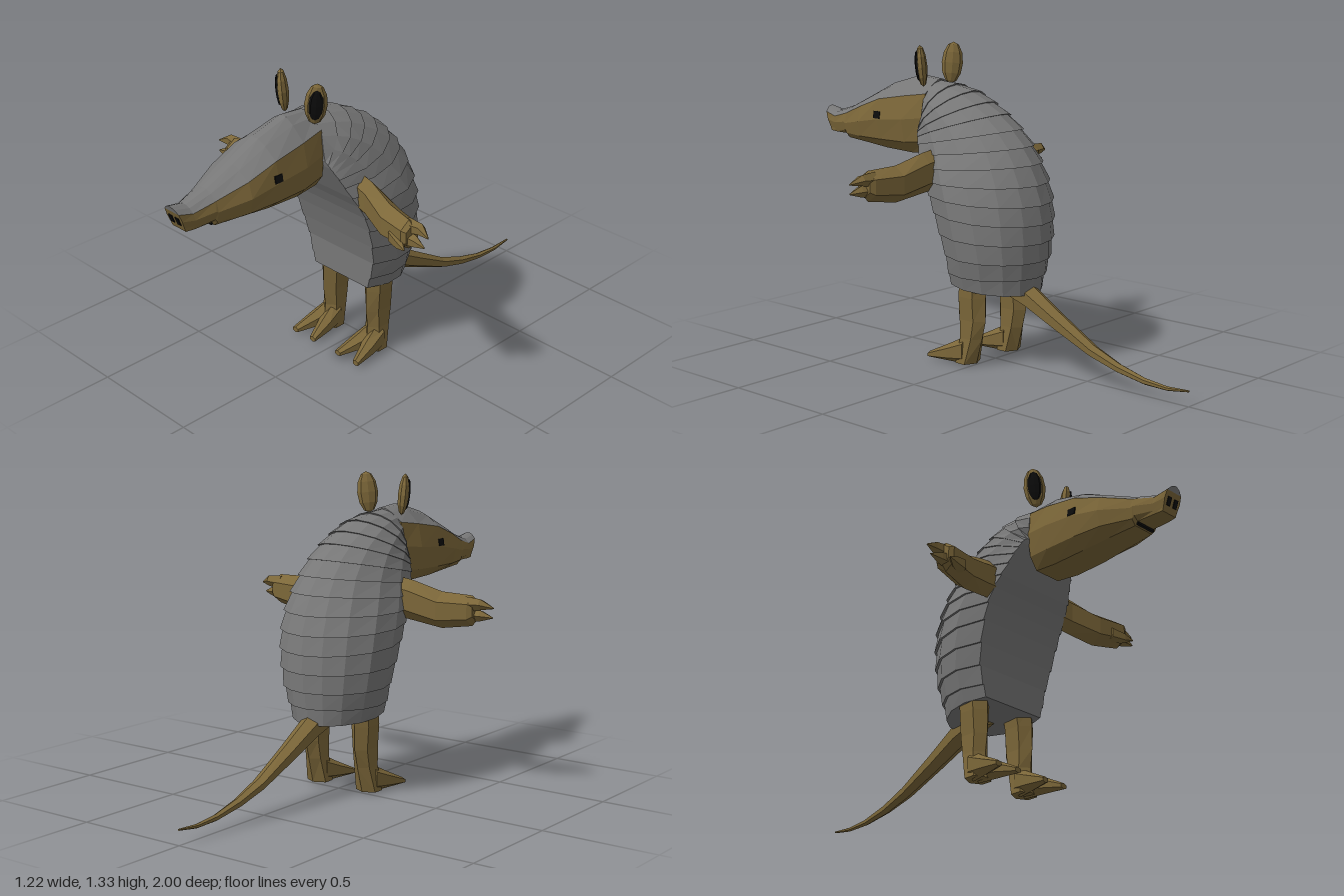
import * as THREE from 'three';

const mat = (color) => new THREE.MeshStandardMaterial({ color, flatShading: true });
const V = (x, y, z) => new THREE.Vector3(x, y, z);

// Closed solid through a row of equal-length rings, capped at both ends, facing outward
function loft(rings) {
  const n = rings[0].length, tris = [];
  for (let i = 0; i < rings.length - 1; i++) {
    for (let j = 0; j < n; j++) {
      const a = rings[i][j], b = rings[i][(j + 1) % n];
      const c = rings[i + 1][(j + 1) % n], d = rings[i + 1][j];
      tris.push([a, b, c], [a, c, d]);
    }
  }
  const cap = (ring, flip) => {
    const mid = ring.reduce((s, p) => s.add(p), V(0, 0, 0)).divideScalar(n);
    ring.forEach((p, j) => {
      const q = ring[(j + 1) % n];
      tris.push(flip ? [mid, q, p] : [mid, p, q]);
    });
  };
  cap(rings[0], true);
  cap(rings[rings.length - 1], false);
  // a negative volume means the winding is inside out
  const volume = tris.reduce((s, [a, b, c]) => s + a.dot(b.clone().cross(c)), 0);
  if (volume < 0) tris.forEach((t) => t.reverse());
  const geo = new THREE.BufferGeometry().setFromPoints(tris.flat());
  geo.computeVertexNormals();
  return geo;
}

// Limb from stations [x, y, z, radiusA, radiusB]; sections lie square to the given axis
function limb(stations, axis, side = 1, sides = 6) {
  return loft(stations.map(([x, y, z, ra, rb]) =>
    Array.from({ length: sides }, (_, j) => {
      const t = ((j + 0.5) / sides) * Math.PI * 2;
      const a = Math.cos(t) * ra, b = Math.sin(t) * rb;
      const p = axis === 'x' ? V(x, y + b, z + a) : axis === 'y' ? V(x + a, y, z + b) : V(x + a, y + b, z);
      p.x *= side;
      return p;
    })));
}

export function createModel() {
  const model = new THREE.Group();
  const grey = mat(0x777777), brown = mat(0x7c6739), black = mat(0x0c0c0c);
  const add = (name, geo, material, parent = model) => {
    const mesh = new THREE.Mesh(geo, material);
    mesh.name = name;
    parent.add(mesh);
    return mesh;
  };

  // Banded shell: [back z, back y, front z, front y, half width], fanning up to the neck
  const bands = [
    [-0.20, 0.31, 0.11, 0.33, 0.18], [-0.215, 0.38, 0.11, 0.38, 0.20],
    [-0.23, 0.45, 0.11, 0.46, 0.222], [-0.24, 0.53, 0.13, 0.55, 0.238],
    [-0.243, 0.61, 0.155, 0.64, 0.247], [-0.238, 0.69, 0.18, 0.71, 0.25],
    [-0.22, 0.77, 0.21, 0.77, 0.245], [-0.19, 0.85, 0.24, 0.82, 0.232],
    [-0.15, 0.92, 0.265, 0.87, 0.213], [-0.095, 0.985, 0.285, 0.91, 0.2],
    [-0.025, 1.045, 0.30, 0.94, 0.185], [0.05, 1.09, 0.31, 0.96, 0.174],
    [0.13, 1.13, 0.315, 0.975, 0.162], [0.22, 1.153, 0.317, 0.985, 0.143],
    [0.31, 1.165, 0.32, 0.99, 0.115],
  ];
  const half = [[0.85, 0], [1, 0.3], [0.93, 0.58], [0.68, 0.82], [0.36, 0.95]];
  const section = [...half, [0, 1], ...half.map(([x, s]) => [-x, s]).reverse()];
  const shellRing = ([bz, by, fz, fy, w], k) => section.map(([x, s]) =>
    V(x * w * k, fy + (by - fy) * s * k, fz + (bz - fz) * s * k));
  const shellRings = [shellRing(bands[0], 0.96)];
  for (let i = 0; i < bands.length - 1; i++) {
    // each plate's lower edge overhangs the plate below
    shellRings.push(shellRing(bands[i], 1.035), shellRing(bands[i + 1], 1));
  }
  add('shell', loft(shellRings), grey);

  // Head: [z, top y, cap edge y, bottom y, half widths at top, edge, cheek, bottom, set-back of bottom]
  const head = [
    [0.31, 1.17, 1.115, 0.86, 0.05, 0.10, 0.115, 0.065, 0],
    [0.42, 1.18, 1.10, 0.85, 0.055, 0.115, 0.135, 0.07, 0],
    [0.57, 1.137, 1.075, 0.855, 0.06, 0.12, 0.137, 0.068, 0],
    [0.70, 1.075, 1.03, 0.865, 0.055, 0.108, 0.127, 0.06, 0],
    [0.83, 1.015, 0.985, 0.873, 0.04, 0.07, 0.08, 0.05, 0],
    [0.84, 1.012, 0.982, 0.89, 0.039, 0.068, 0.078, 0.048, 0],
    [0.93, 0.985, 0.96, 0.89, 0.03, 0.05, 0.055, 0.045, 0.01],
    [1.0, 1.0, 0.975, 0.892, 0.024, 0.042, 0.046, 0.04, 0.04],
  ];
  const headRings = (pick) => head.map((h) => {
    const [z, top, , bottom, , , , , back] = h;
    const right = pick(h).map(([x, y]) => V(x, y, z - back * (top - y) / (top - bottom)));
    return [...right, ...right.map((p) => V(-p.x, p.y, p.z)).reverse()];
  });
  add('headPlate', loft(headRings(([, t, e, , wt, we]) =>
    [[wt * 0.3, t], [wt, t - (t - e) * 0.3], [we, e]])), grey);
  add('face', loft(headRings(([, , e, b, , we, wm, wb]) =>
    [[we, e], [wm, e * 0.6 + b * 0.4], [wm * 0.88, e * 0.2 + b * 0.8], [wb, b]])), brown);
  add('mouth', new THREE.BoxGeometry(0.095, 0.01, 0.02), black).position.set(0, 0.883, 0.834);

  // Tail
  add('tail', limb([
    [0, 0.335, -0.05, 0.055, 0.035], [0, 0.295, -0.2, 0.052, 0.055],
    [0, 0.215, -0.35, 0.042, 0.042], [0, 0.125, -0.53, 0.032, 0.026],
    [0, 0.08, -0.66, 0.022, 0.02], [0, 0.052, -0.79, 0.014, 0.014],
    [0, 0.045, -0.9, 0.01, 0.009], [0, 0.055, -1, 0.004, 0.004],
  ], 'z'), brown);

  for (const side of [1, -1]) {
    const word = side > 0 ? 'left' : 'right';
    const group = (part) => {
      const g = new THREE.Group();
      g.name = word + part;
      model.add(g);
      return g;
    };

    // Nostril and eye
    const nostril = add(word + 'Nostril', new THREE.BoxGeometry(0.02, 0.036, 0.008), black);
    nostril.position.set(side * 0.019, 0.936, 0.976);
    nostril.rotation.x = 0.36;
    const eye = add(word + 'Eye', new THREE.BoxGeometry(0.02, 0.032, 0.038), black);
    eye.position.set(side * 0.126, 1.005, 0.57);
    eye.rotation.z = side * 0.15;

    // Ear: flattened leaf turned forward and outward, with a dark hollow
    const ear = group('Ear');
    add('earShell', new THREE.SphereGeometry(1, 8, 6).scale(0.046, 0.09, 0.024), brown, ear);
    add('earHollow', new THREE.SphereGeometry(1, 8, 6).scale(0.03, 0.066, 0.012), black, ear)
      .position.set(0, 0.002, 0.017);
    ear.position.set(side * 0.095, 1.232, 0.333);
    ear.rotation.set(0, side * 0.8, side * -0.12, 'ZYX');

    // Arm with clawed hand
    const arm = group('Arm');
    add('foreleg', limb([
      [0.15, 0.825, 0.17, 0.04, 0.085], [0.25, 0.81, 0.182, 0.045, 0.085],
      [0.38, 0.777, 0.212, 0.06, 0.077], [0.51, 0.782, 0.24, 0.054, 0.064],
      [0.53, 0.785, 0.242, 0.04, 0.045],
    ], 'x', side), brown, arm);
    const claws = [
      [[0.49, 0.81, 0.23], [0.56, 0.815, 0.225], [0.612, 0.802, 0.24]],
      [[0.49, 0.765, 0.245], [0.55, 0.765, 0.245], [0.602, 0.76, 0.25]],
      [[0.44, 0.76, 0.255], [0.5, 0.752, 0.28], [0.545, 0.748, 0.302]],
    ];
    claws.forEach((path) => add('claw', limb(
      path.map((p, i) => [...p, [0.034, 0.024, 0.003][i], [0.034, 0.024, 0.003][i]]),
      'x', side, 5), brown, arm));

    // Hind leg and two splayed toes
    const leg = group('Leg');
    add('hindLeg', limb([
      [0.125, 0.37, 0.01, 0.058, 0.075], [0.13, 0.29, 0.015, 0.052, 0.075],
      [0.13, 0.19, 0.015, 0.044, 0.075], [0.13, 0.11, 0.02, 0.046, 0.06],
      [0.132, 0, 0.04, 0.058, 0.05],
    ], 'y', side), brown, leg);
    for (const splay of [-1, 1]) {
      add('toe', limb([
        [0.132 + splay * 0.015, 0.055, 0.03, 0.04, 0.063],
        [0.132 + splay * 0.03, 0.035, 0.11, 0.037, 0.04],
        [0.132 + splay * 0.054, 0.012, 0.21, 0.018, 0.013],
      ], 'z', side), brown, leg);
    }
  }
  return model;
}
